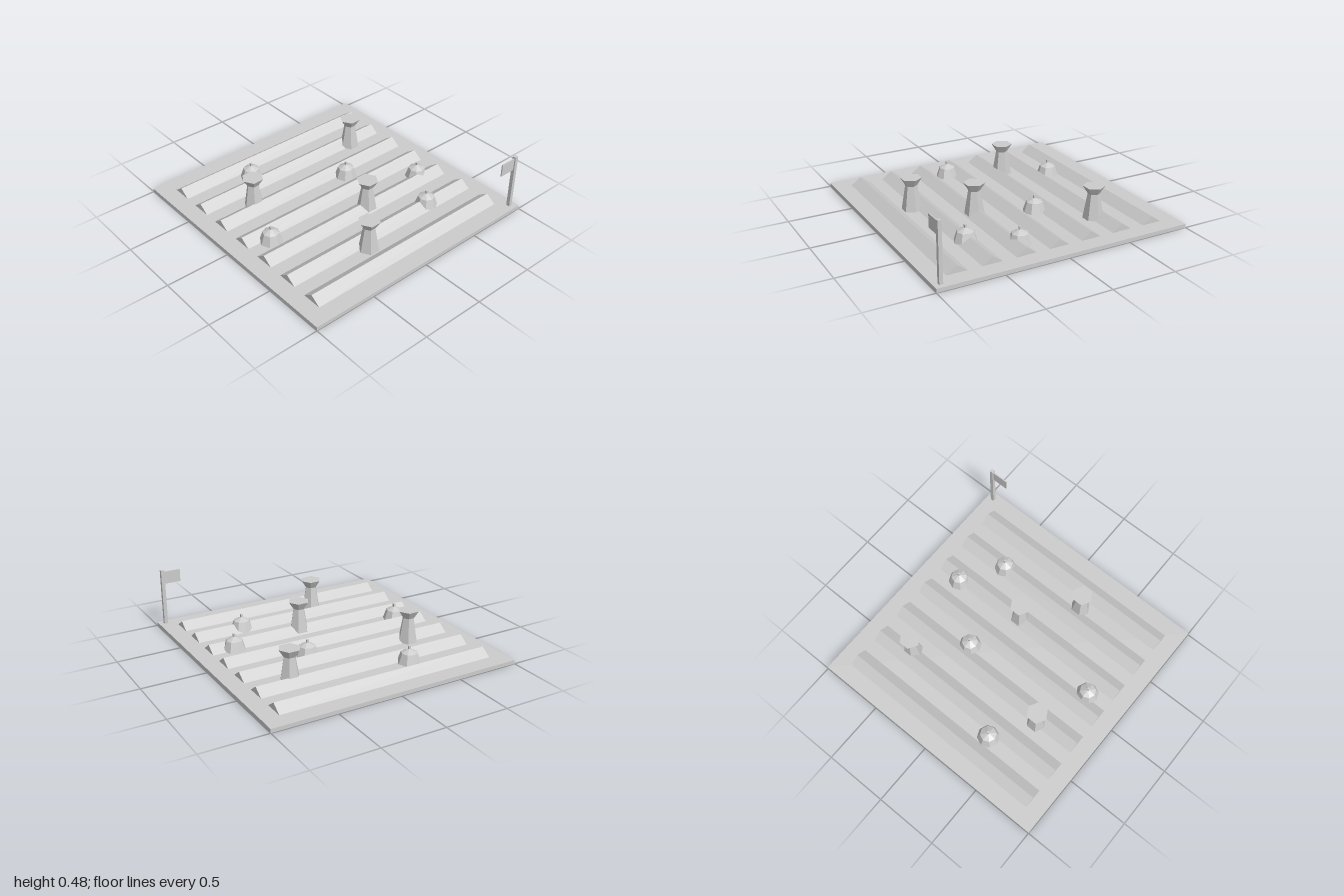
import * as THREE from 'three';

export function createModel() {
  const model = new THREE.Group();
  model.name = 'gardenField';
  const grey = new THREE.MeshStandardMaterial({ color: 0xcccccc, side: THREE.DoubleSide });
  grey.name = 'plainGrey';
  grey.flatShading = true;

  const GROUND = 0.03;
  const add = (parent, name, geometry, x = 0, y = 0, z = 0) => {
    const mesh = new THREE.Mesh(geometry, grey);
    mesh.name = name;
    mesh.position.set(x, y, z);
    parent.add(mesh);
    return mesh;
  };

  // Square soil sheet with a skirt round its edge, open underneath
  add(model, 'soil', new THREE.PlaneGeometry(2, 2).rotateX(-Math.PI / 2), 0, GROUND, 0);
  const skirt = new THREE.PlaneGeometry(2, GROUND).translate(0, GROUND / 2, 1);
  for (let i = 0; i < 4; i++) add(model, 'soilSkirt', skirt).rotation.y = i * Math.PI / 2;

  // Seven triangular furrow ridges running along x, feet just under the soil
  const section = new THREE.Shape([
    new THREE.Vector2(-0.08, -0.001),
    new THREE.Vector2(0.08, -0.001),
    new THREE.Vector2(0, 0.056),
  ]);
  const ridge = new THREE.ExtrudeGeometry(section, { depth: 1.74, bevelEnabled: false });
  ridge.translate(0, 0, -0.87).rotateY(Math.PI / 2);
  // Undersides are left off so that nothing shows beneath the soil
  const openRidge = ridge.toNonIndexed ? openBelow(ridge) : ridge;
  for (let i = -3; i <= 3; i++) add(model, 'ridge', openRidge, 0, GROUND, i * 0.263);

  // Hexagonal sheaves: tapered bundle with a flared head
  const stalks = new THREE.CylinderGeometry(0.045, 0.078, 0.195, 6, 1, true).rotateY(Math.PI / 6);
  const head = new THREE.CylinderGeometry(0.083, 0.045, 0.06, 6).rotateY(Math.PI / 6);
  for (const [x, z] of [[-0.525, -0.317], [0.58, -0.473], [0.105, 0.264], [-0.21, 0.631]]) {
    const sheaf = new THREE.Group();
    sheaf.name = 'sheaf';
    sheaf.position.set(x, GROUND, z);
    add(sheaf, 'stalkBundle', stalks, 0, 0.0975, 0);
    add(sheaf, 'sheafHead', head, 0, 0.225, 0);
    model.add(sheaf);
  }

  // Eight-sided domed pumpkins with a small square stem
  const dome = new THREE.LatheGeometry([
    new THREE.Vector2(0.089, 0),
    new THREE.Vector2(0.063, 0.078),
    new THREE.Vector2(0, 0.108),
  ], 8);
  const stem = new THREE.BoxGeometry(0.016, 0.04, 0.016);
  const spots = [[-0.316, -0.632], [0.264, -0.159], [-0.685, 0.106], [0.685, 0.21], [0.474, 0.527]];
  for (const [x, z] of spots) {
    const pumpkin = new THREE.Group();
    pumpkin.name = 'pumpkin';
    pumpkin.position.set(x, GROUND, z);
    add(pumpkin, 'pumpkinBody', dome);
    add(pumpkin, 'pumpkinStem', stem, 0, 0.107, 0);
    model.add(pumpkin);
  }

  // Corner sign: square pole standing through the soil, with a thin flag
  add(model, 'pole', new THREE.BoxGeometry(0.028, 0.476, 0.028), 0.947, 0.238, 0.947);
  add(model, 'flag', new THREE.BoxGeometry(0.135, 0.1, 0.009), 0.87, 0.413, 0.947);

  return model;
}

// Drops the triangles that face straight down
function openBelow(geometry) {
  const { position, normal } = geometry.attributes;
  const kept = [];
  for (let i = 0; i < position.count; i += 3) {
    if (normal.getY(i) < -0.9) continue;
    for (let k = i; k < i + 3; k++) kept.push(position.getX(k), position.getY(k), position.getZ(k));
  }
  const open = new THREE.BufferGeometry();
  open.setAttribute('position', new THREE.Float32BufferAttribute(kept, 3));
  open.computeVertexNormals();
  return open;
}
